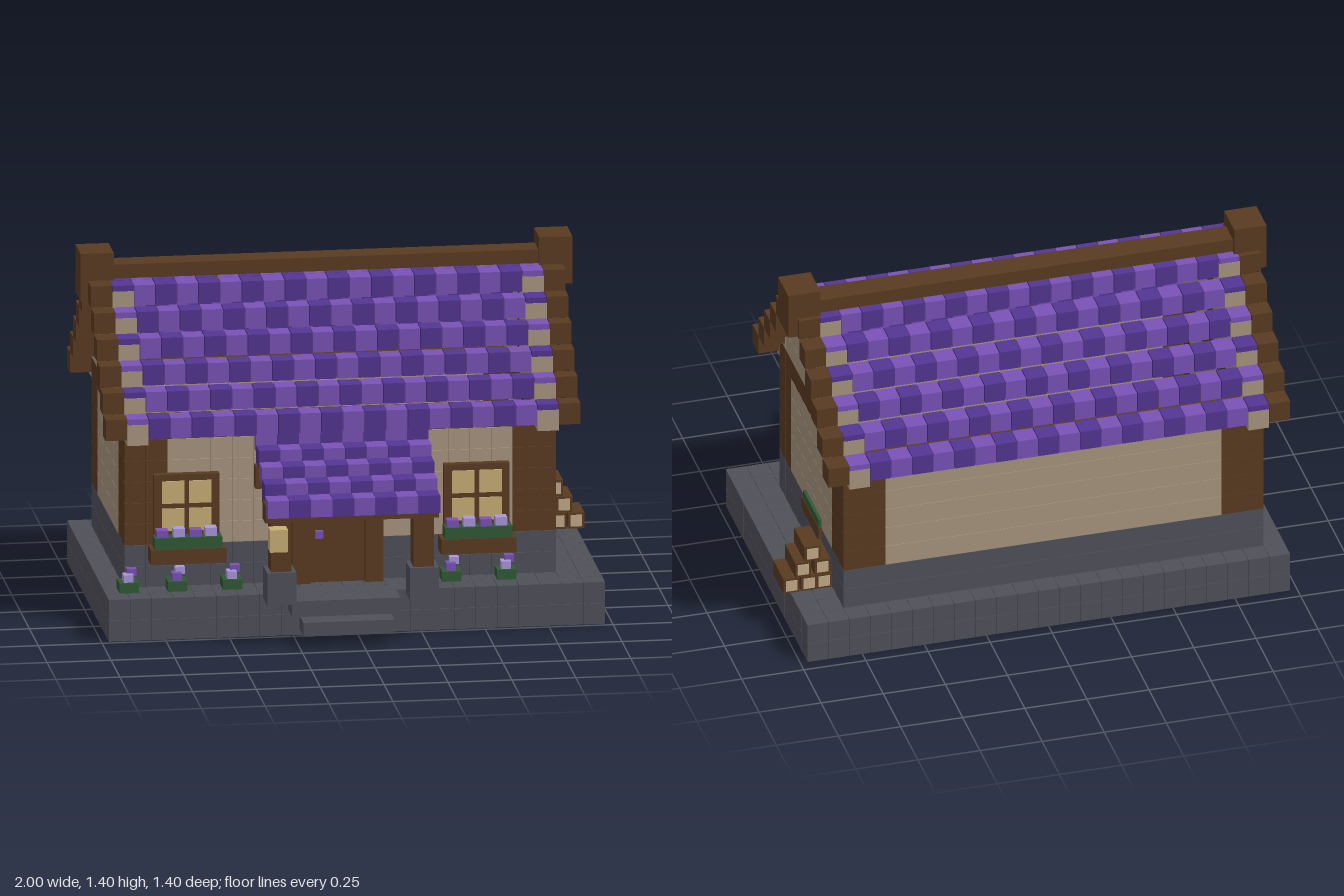
import * as THREE from 'three';
import { mergeGeometries } from 'three/addons/utils/BufferGeometryUtils.js';

const P = 0.0845; // block pitch
const X0 = -0.972, Z0 = -0.70;

const makeMaterial = (name, color) => {
  const m = new THREE.MeshStandardMaterial({ color });
  m.name = name;
  return m;
};

export function createModel() {
  const house = new THREE.Group();
  house.name = 'cottage';
  const wood = makeMaterial('dark wood', 0x5a3b21);
  const stone = makeMaterial('grey stone', 0x50505a);
  const plaster = makeMaterial('plaster', 0xa99680);
  const tileLight = makeMaterial('light purple', 0x7a52b8);
  const tileDark = makeMaterial('dark purple', 0x543592);
  const glow = makeMaterial('warm glass', 0xcbb078);
  const leaf = makeMaterial('leaf green', 0x2f5a35);
  const petal = makeMaterial('pale petal', 0xab98dc);
  const cutWood = makeMaterial('cut wood', 0xc4ab8a);

  // Box from min and max corners
  const boxGeo = (x1, x2, y1, y2, z1, z2) =>
    new THREE.BoxGeometry(x2 - x1, y2 - y1, z2 - z1).translate((x1 + x2) / 2, (y1 + y2) / 2, (z1 + z2) / 2);
  const add = (name, mat, geos) => {
    const mesh = new THREE.Mesh(mergeGeometries(geos), mat);
    mesh.name = name;
    house.add(mesh);
  };
  const box = (name, mat, ...b) => add(name, mat, [boxGeo(...b)]);
  // One block at grid position i, k, l
  const cell = (i, k, l, s = 0.0832) =>
    new THREE.BoxGeometry(s, s, s).translate(X0 + (i + 0.5) * P, (k + 0.5) * P, Z0 + (l + 0.5) * P);

  // Foundation: lower rim and full upper slab
  const base = [];
  for (let i = 0; i < 23; i++) for (let l = 0; l < 14; l++) {
    base.push(cell(i, 1, l));
    if (i === 0 || i === 22 || l === 0 || l === 13) base.push(cell(i, 0, l));
  }
  add('foundation', stone, base);

  // Walls: stone footing, plaster panels, timber corners and top plate
  const footing = [], panels = [], timber = [];
  for (let i = 1; i <= 20; i++) for (let l = 1; l <= 11; l++) {
    if (i > 1 && i < 20 && l > 1 && l < 11) continue;
    const corner = (i <= 2 || i >= 19) && (l <= 2 || l >= 10);
    for (let k = 2; k <= 9; k++) {
      const list = k < 4 ? footing : corner || k === 9 ? timber : panels;
      list.push(cell(i, k, l));
    }
  }
  // Stepped gables with a centre post
  for (const i of [1, 20]) {
    panels.push(cell(i, 9, 0), cell(i, 9, 12));
    for (let j = 1; j <= 5; j++) for (let l = j; l <= 12 - j; l++)
      (l === 6 ? timber : panels).push(cell(i, 9 + j, l));
  }
  add('stoneFooting', stone, footing);
  add('plasterWalls', plaster, panels);
  add('timberFrame', wood, timber);

  // Roof tiles in two purples, and barge boards at both ends
  const tiles = [[], []], barge = [];
  const rise = 9.28;
  for (let r = 0; r <= 5; r++) {
    for (const l of [r, 12 - r]) {
      for (let i = 1; i <= 20; i++) tiles[(i + r + (l > 6 ? 1 : 0)) % 2].push(cell(i, rise + r, l, 0.081));
      barge.push(cell(0, rise + r, l, 0.084), cell(21, rise + r, l, 0.084));
    }
  }
  for (let i = 1; i <= 20; i++) tiles[i % 2].push(cell(i, rise + 5, 6, 0.081));
  add('roofTilesLight', tileLight, tiles[0]);
  add('roofTilesDark', tileDark, tiles[1]);
  add('bargeBoards', wood, barge);
  box('ridgeBeam', wood, -0.9, 0.82, 1.25, 1.345, -0.235, -0.135);
  box('ridgeEndRight', wood, -1.0, -0.87, 1.21, 1.40, -0.257, -0.11);
  box('ridgeEndLeft', wood, 0.795, 0.925, 1.21, 1.40, -0.257, -0.11);

  // Porch roof
  const porch = [[], []];
  for (let r = 0; r < 5; r++) for (let i = 0; i < 8; i++) {
    const x = -0.378 + i * P, y = 0.53 + r * 0.045, z = 0.615 - r * P;
    porch[(i + r) % 2].push(boxGeo(x, x + 0.083, y, y + 0.07, z, z + 0.081));
  }
  add('porchTilesLight', tileLight, porch[0]);
  add('porchTilesDark', tileDark, porch[1]);

  // Porch posts, beams and lantern
  for (const x of [-0.318, 0.24]) {
    box('porchPost', wood, x - 0.04, x + 0.04, 0.30, 0.53, 0.555, 0.64);
    box('porchPostBase', stone, x - 0.057, x + 0.057, 0.17, 0.30, 0.54, 0.655);
    box('porchSideBeam', wood, x - 0.03, x + 0.03, 0.495, 0.545, 0.315, 0.60);
  }
  box('porchFrontBeam', wood, -0.38, 0.30, 0.495, 0.57, 0.56, 0.635);
  box('porchWallBeam', wood, -0.38, 0.30, 0.56, 0.65, 0.31, 0.36);
  box('lantern', glow, -0.37, -0.30, 0.395, 0.485, 0.64, 0.70);

  // Entrance steps
  box('upperStep', stone, -0.27, 0.155, 0.105, 0.168, 0.40, 0.60);
  box('lowerStep', stone, -0.235, 0.12, 0.045, 0.10, 0.56, 0.67);

  // Door
  box('door', wood, -0.165, 0.05, 0.17, 0.50, 0.31, 0.338);
  box('doorPostRight', wood, -0.235, -0.165, 0.17, 0.50, 0.31, 0.36);
  box('doorPostLeft', wood, 0.05, 0.12, 0.17, 0.50, 0.31, 0.36);
  box('doorLintel', wood, -0.235, 0.12, 0.49, 0.555, 0.31, 0.36);
  for (const x of [-0.135, -0.04])
    box('doorPane', glow, x, x + 0.065, 0.42, 0.49, 0.336, 0.343);
  box('doorKnob', tileLight, -0.145, -0.115, 0.35, 0.38, 0.335, 0.36);

  // Front windows with flower boxes
  for (const x of [-0.648, 0.488]) {
    box('windowFrame', wood, x - 0.128, x + 0.128, 0.34, 0.625, 0.31, 0.345);
    const panes = [];
    for (const sx of [-1, 1]) for (const y of [0.40, 0.51])
      panes.push(boxGeo(x + sx * 0.053 - 0.044, x + sx * 0.053 + 0.044, y, y + 0.09, 0.343, 0.35));
    add('windowPanes', glow, panes);
    box('flowerBox', wood, x - 0.147, x + 0.147, 0.28, 0.34, 0.315, 0.405);
    box('flowerBoxLeaves', leaf, x - 0.132, x + 0.132, 0.34, 0.385, 0.335, 0.40);
    [-0.1, -0.035, 0.03, 0.09].forEach((dx, n) => {
      const y = 0.38 + (n % 2) * 0.006;
      box('boxFlower', n % 2 ? petal : tileLight, x + dx - 0.023, x + dx + 0.023, y, y + 0.033, 0.345, 0.392);
    });
  }

  // Flower box on the left gable wall
  box('sideFlowerBox', wood, 0.79, 0.816, 0.29, 0.345, -0.30, -0.055);
  box('sideLeaves', leaf, 0.79, 0.814, 0.345, 0.38, -0.295, -0.07);

  // Ground plants along the front
  [-0.88, -0.69, -0.475, 0.383, 0.598].forEach((x, n) => {
    box('plant', leaf, x - 0.038, x + 0.038, 0.17, 0.21, 0.32, 0.40);
    const a = n % 2 ? tileLight : petal, b = n % 2 ? petal : tileLight;
    box('plantFlower', a, x - 0.02, x + 0.018, 0.21, 0.24, 0.345, 0.39);
    box('plantFlowerBack', b, x - 0.005, x + 0.033, 0.23, 0.258, 0.335, 0.365);
  });

  // Stacked firewood with pale cut ends
  const logs = [], ends = [];
  [[0.836, 0.202], [0.897, 0.202], [0.967, 0.202], [0.842, 0.268], [0.92, 0.268], [0.883, 0.335]].forEach(([x, y]) => {
    logs.push(boxGeo(x - 0.032, x + 0.032, y - 0.032, y + 0.032, -0.455, -0.305));
    ends.push(boxGeo(x - 0.023, x + 0.023, y - 0.023, y + 0.023, -0.308, -0.302));
    ends.push(boxGeo(x - 0.023, x + 0.023, y - 0.023, y + 0.023, -0.458, -0.452));
  });
  add('firewood', wood, logs);
  add('firewoodEnds', cutWood, ends);

  return house;
}
